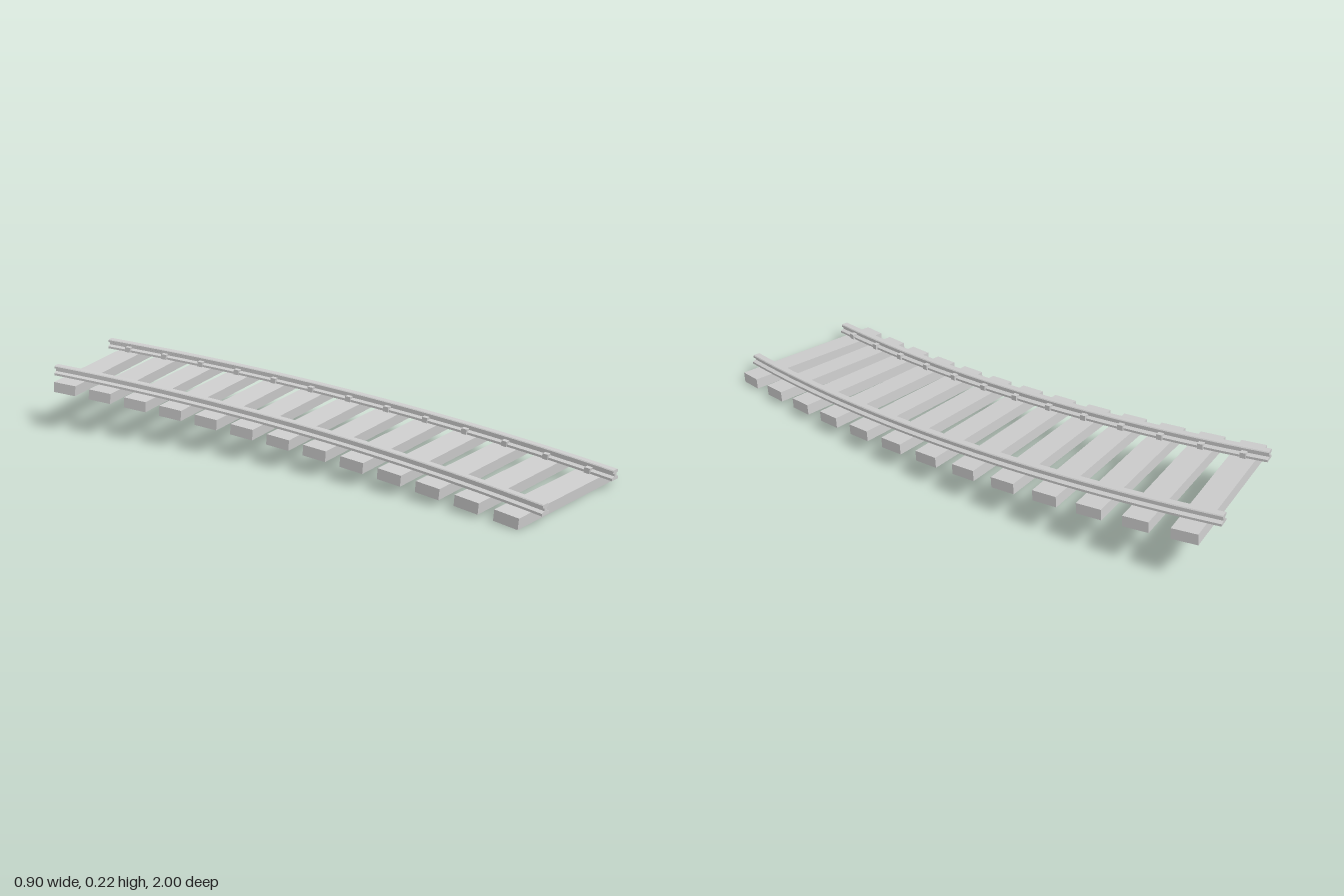
import * as THREE from 'three';
import { toCreasedNormals } from 'three/addons/utils/BufferGeometryUtils.js';

const RADIUS = 5.3, SWEEP = 0.3707, LENGTH = RADIUS * SWEEP;
const RISE = 0.149, SLOPE = RISE / LENGTH;
const BASE = 0.033, GAUGE = 0.4, SLEEPERS = 13;
const CENTRE_X = 0.165 - RADIUS, START_Z = 1;

// Point on the climbing curve: sideways offset, height above track bed, distance along
function trackPoint(offset, height, s) {
  const a = s / RADIUS, r = RADIUS + offset;
  return new THREE.Vector3(
    CENTRE_X + r * Math.cos(a),
    BASE + height + SLOPE * s,
    START_Z - r * Math.sin(a));
}

// Rail: I-shaped profile extruded straight, then bent along the curve
function railGeometry(offset) {
  const half = [[0.019, 0], [0.019, 0.008], [0.006, 0.013], [0.006, 0.021],
    [0.014, 0.024], [0.014, 0.031], [0.011, 0.034]];
  const outline = [...half, ...half.map(([x, y]) => [-x, y]).reverse()];
  const shape = new THREE.Shape(outline.map(([x, y]) => new THREE.Vector2(x, y)));
  const geo = new THREE.ExtrudeGeometry(shape, { depth: LENGTH, steps: 26, bevelEnabled: false });
  geo.translate(offset, 0, -LENGTH);
  const pos = geo.attributes.position;
  for (let i = 0; i < pos.count; i++) {
    const p = trackPoint(pos.getX(i), pos.getY(i), -pos.getZ(i));
    pos.setXYZ(i, p.x, p.y, p.z);
  }
  return toCreasedNormals(geo, 0.35);
}

export function createModel() {
  const model = new THREE.Group();
  model.name = 'curvedRailTrack';
  const material = new THREE.MeshStandardMaterial({ color: 0xcccccc });

  const sleeperGeo = new THREE.BoxGeometry(0.57, 0.037, 0.087);
  const clipGeo = new THREE.BoxGeometry(0.018, 0.02, 0.02);

  // Block aligned with the curve and its climb
  function place(name, geo, offset, height, s) {
    const mesh = new THREE.Mesh(geo, material);
    mesh.name = name;
    mesh.position.copy(trackPoint(offset, height, s));
    mesh.rotation.set(Math.atan(SLOPE), s / RADIUS, 0, 'YXZ');
    model.add(mesh);
  }

  // Rails
  for (const side of [-1, 1]) {
    const rail = new THREE.Mesh(railGeometry(side * GAUGE / 2), material);
    rail.name = side > 0 ? 'leftRail' : 'rightRail';
    model.add(rail);
  }

  // Sleepers, each with a clip on the inner side of both rails
  for (let i = 0; i < SLEEPERS; i++) {
    const s = 0.085 + i * 0.1497;
    place('sleeper', sleeperGeo, 0, -0.0185, s);
    for (const side of [-1, 1]) place('railClip', clipGeo, side * (GAUGE / 2 - 0.016), 0.009, s);
  }
  return model;
}
